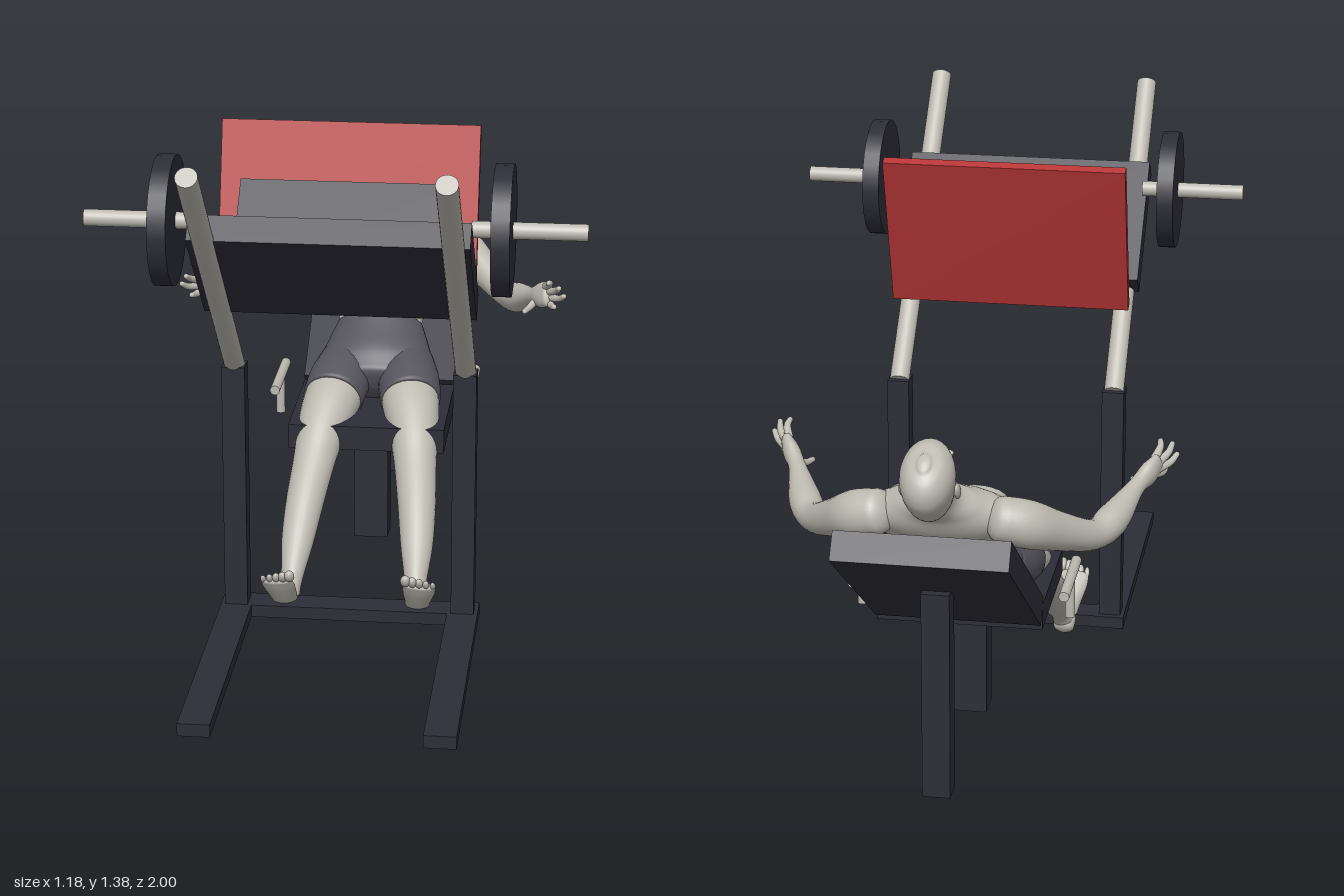
import * as THREE from 'three';

const mat = (name, color) => {
  const m = new THREE.MeshStandardMaterial({ color });
  m.name = name;
  return m;
};

export function createModel() {
  const model = new THREE.Group();
  model.name = 'legPress';
  const dark = mat('darkFrame', 0x2d2d38);
  const red = mat('redPad', 0xb83636);
  const pale = mat('paleGrey', 0xbdbab1);
  const cloth = mat('shortsGrey', 0x56555e);
  const V = (p) => new THREE.Vector3(...p);

  const add = (name, geo, material, pos = [0, 0, 0], rx = 0, parent = model) => {
    const mesh = new THREE.Mesh(geo, material);
    mesh.name = name;
    mesh.position.set(...pos);
    mesh.rotation.x = rx;
    parent.add(mesh);
    return mesh;
  };
  const box = (name, size, pos, rx, material = dark) =>
    add(name, new THREE.BoxGeometry(...size), material, pos, rx);
  const rod = (name, a, b, r, material = pale) => {
    const A = V(a), B = V(b), d = B.clone().sub(A);
    const mesh = add(name, new THREE.CylinderGeometry(r, r, d.length(), 28), material,
      A.clone().add(B).multiplyScalar(0.5).toArray());
    mesh.quaternion.setFromUnitVectors(new THREE.Vector3(0, 1, 0), d.normalize());
    return mesh;
  };
  const ball = (name, r, pos, rx = 0, parent = model, material = pale) => {
    const mesh = add(name, new THREE.SphereGeometry(1, 20, 14), material, pos, rx, parent);
    mesh.scale.set(...r);
    return mesh;
  };

  // Smooth body form through elliptical sections [x, y, z, halfWidth, halfDepth], rounded at both ends
  const loft = (name, sections, material = pale, cap = 0.6, parent = model) => {
    const path = new THREE.CatmullRomCurve3(sections.map((s) => V(s.slice(0, 3))), false, 'catmullrom', 0.5);
    const radii = new THREE.CatmullRomCurve3(sections.map((s) => new THREE.Vector3(s[3], s[4], 0)), false, 'catmullrom', 0.5);
    const steps = (sections.length - 1) * 6, sides = 28, rings = [];
    const ring = (t, bend, dir) => {
      const tan = path.getTangent(t), r = radii.getPoint(t);
      const centre = path.getPoint(t).addScaledVector(tan, dir * cap * Math.min(r.x, r.y) * Math.sin(bend));
      rings.push({ centre, tan, a: r.x * Math.cos(bend), b: r.y * Math.cos(bend) });
    };
    for (let k = 4; k > 0; k--) ring(0, k * Math.PI / 8, -1);
    for (let i = 0; i <= steps; i++) ring(i / steps, 0, 0);
    for (let k = 1; k <= 4; k++) ring(1, k * Math.PI / 8, 1);
    const pos = [], index = [];
    rings.forEach(({ centre, tan, a, b }, i) => {
      const v = new THREE.Vector3(1, 0, 0).cross(tan).normalize();
      const u = tan.clone().cross(v);
      for (let j = 0; j < sides; j++) {
        const q = j / sides * Math.PI * 2;
        pos.push(...centre.clone().addScaledVector(u, a * Math.cos(q)).addScaledVector(v, b * Math.sin(q)).toArray());
        if (i === rings.length - 1) continue;
        const A = i * sides + j, C = i * sides + (j + 1) % sides;
        index.push(A, A + sides, C, C, A + sides, C + sides);
      }
    });
    const geo = new THREE.BufferGeometry();
    geo.setAttribute('position', new THREE.Float32BufferAttribute(pos, 3));
    geo.setIndex(index);
    geo.computeVertexNormals();
    return add(name, geo, material, [0, 0, 0], 0, parent);
  };

  // Machine frame, guide tubes and weights
  box('baseCrossbar', [0.654, 0.032, 0.075], [0, 0.045, 0.28]);
  for (const s of [-1, 1]) {
    box('baseRail', [0.078, 0.032, 0.76], [s * 0.288, 0.045, 0.62]);
    box('upright', [0.058, 0.65, 0.058], [s * 0.288, 0.375, 0.286]);
    rod('guideTube', [s * 0.288, 0.695, 0.28], [s * 0.288, 1.367, 0.947], 0.026);
    rod('weightPeg', [s * 0.32, 1.163, 0.6], [s * 0.59, 1.163, 0.6], 0.02);
    rod('weightPlate', [s * 0.372, 1.163, 0.6], [s * 0.416, 1.163, 0.6], 0.155, dark);
  }

  // Sliding carriage and foot plate
  box('carriage', [0.654, 0.36, 0.068], [0, 1.057, 0.597], Math.PI / 4);
  box('footPlateSupport', [0.52, 0.28, 0.046], [0, 1.075, 0.409], -Math.PI / 4);
  box('footPlate', [0.63, 0.426, 0.028], [0, 1.11, 0.295], -0.295, red);

  // Bench
  box('seat', [0.412, 0.065, 0.36], [0, 0.366, -0.276]);
  box('backrest', [0.412, 0.072, 0.63], [0, 0.567, -0.717], 0.615);
  box('seatLeg', [0.09, 0.31, 0.087], [0, 0.185, -0.277]);
  box('backrestLeg', [0.068, 0.53, 0.066], [0, 0.295, -0.759]);
  for (const s of [-1, 1]) {
    rod('handleBar', [s * 0.262, 0.436, -0.25], [s * 0.262, 0.436, -0.48], 0.013);
    rod('handlePost', [s * 0.262, 0.334, -0.365], [s * 0.262, 0.43, -0.365], 0.012);
  }

  // Torso and neck
  loft('torso', [
    [0, 0.5, -0.41, 0.12, 0.065], [0, 0.55, -0.468, 0.112, 0.067], [0, 0.62, -0.55, 0.132, 0.075],
    [0, 0.685, -0.63, 0.162, 0.084], [0, 0.737, -0.7, 0.175, 0.07], [0, 0.775, -0.742, 0.105, 0.054],
    [0, 0.805, -0.775, 0.056, 0.052], [0, 0.86, -0.83, 0.05, 0.05],
  ]);
  loft('shortsHips', [
    [0, 0.555, -0.474, 0.117, 0.073], [0, 0.515, -0.425, 0.138, 0.079],
    [0, 0.475, -0.365, 0.155, 0.08], [0, 0.445, -0.315, 0.13, 0.066],
  ], cloth, 0.3);

  // Head, with its own up axis leaning back
  const head = new THREE.Group();
  head.name = 'head';
  head.position.set(0, 0.862, -0.847);
  head.rotation.x = -0.6;
  model.add(head);
  loft('skull', [
    [0, -0.098, 0.058, 0.022, 0.02], [0, -0.075, 0.038, 0.041, 0.045], [0, -0.03, 0.01, 0.055, 0.08],
    [0, 0.02, -0.004, 0.063, 0.093], [0, 0.06, -0.01, 0.061, 0.088], [0, 0.088, -0.013, 0.044, 0.064],
    [0, 0.101, -0.014, 0.018, 0.028],
  ], pale, 0.4, head);
  ball('nose', [0.011, 0.024, 0.015], [0, -0.025, 0.093], -0.35, head);
  ball('lips', [0.02, 0.009, 0.008], [0, -0.062, 0.084], 0, head);
  for (const s of [-1, 1]) {
    ball('ear', [0.008, 0.026, 0.016], [s * 0.064, -0.012, -0.008], -0.2, head);
    ball('brow', [0.021, 0.007, 0.01], [s * 0.025, 0.012, 0.08], 0, head);
  }

  for (const s of [-1, 1]) {
    const m = (list) => list.map(([x, ...rest]) => [x * s, ...rest]);
    ball('chestMuscle', [0.072, 0.055, 0.025], [s * 0.07, 0.735, -0.6], -0.87);

    // Arm and spread hand
    loft('arm', m([
      [0.145, 0.735, -0.725, 0.052, 0.055], [0.205, 0.715, -0.7, 0.056, 0.058], [0.27, 0.675, -0.635, 0.045, 0.047],
      [0.34, 0.635, -0.548, 0.036, 0.037], [0.378, 0.648, -0.475, 0.04, 0.04],
      [0.42, 0.69, -0.37, 0.022, 0.023], [0.445, 0.708, -0.32, 0.022, 0.034], [0.462, 0.722, -0.29, 0.016, 0.034],
    ]));
    const fingers = [
      [[0.435, 0.695, -0.335], [0.415, 0.678, -0.305], [0.403, 0.675, -0.275]],
      [[0.46, 0.7, -0.3], [0.475, 0.695, -0.27], [0.482, 0.7, -0.245]],
      [[0.465, 0.712, -0.295], [0.492, 0.718, -0.262], [0.507, 0.732, -0.24]],
      [[0.465, 0.727, -0.292], [0.487, 0.742, -0.258], [0.494, 0.756, -0.232]],
      [[0.458, 0.74, -0.295], [0.468, 0.758, -0.265], [0.466, 0.766, -0.242]],
    ];
    for (const f of fingers) {
      loft('finger', m(f.map((p, i) => [...p, 0.011 - i * 0.002, 0.011 - i * 0.002])), pale, 1);
    }

    // Leg, shorts leg and foot
    loft('leg', m([
      [0.085, 0.46, -0.36, 0.075, 0.07], [0.105, 0.422, -0.235, 0.076, 0.07], [0.122, 0.375, -0.15, 0.066, 0.062],
      [0.133, 0.315, -0.07, 0.056, 0.052], [0.146, 0.238, 0.025, 0.05, 0.049],
      [0.155, 0.16, 0.12, 0.042, 0.04], [0.16, 0.09, 0.205, 0.028, 0.03], [0.165, 0.05, 0.24, 0.028, 0.03],
    ]));
    loft('shortsLeg', m([
      [0.08, 0.475, -0.39, 0.075, 0.072], [0.094, 0.45, -0.31, 0.083, 0.078], [0.104, 0.427, -0.24, 0.081, 0.075],
    ]), cloth, 0.02);
    loft('foot', m([
      [0.167, 0.03, 0.232, 0.028, 0.029], [0.171, 0.075, 0.272, 0.033, 0.028],
      [0.178, 0.118, 0.315, 0.041, 0.019], [0.181, 0.142, 0.338, 0.04, 0.012],
    ]));
    for (let i = 0; i < 5; i++) {
      const r = 0.013 - i * 0.0015;
      ball('toe', [r, 0.02 - i * 0.001, r], [s * (0.147 + i * 0.017), 0.16 - i * 0.004, 0.351 - i * 0.003], 0.7);
    }
  }
  return model;
}
